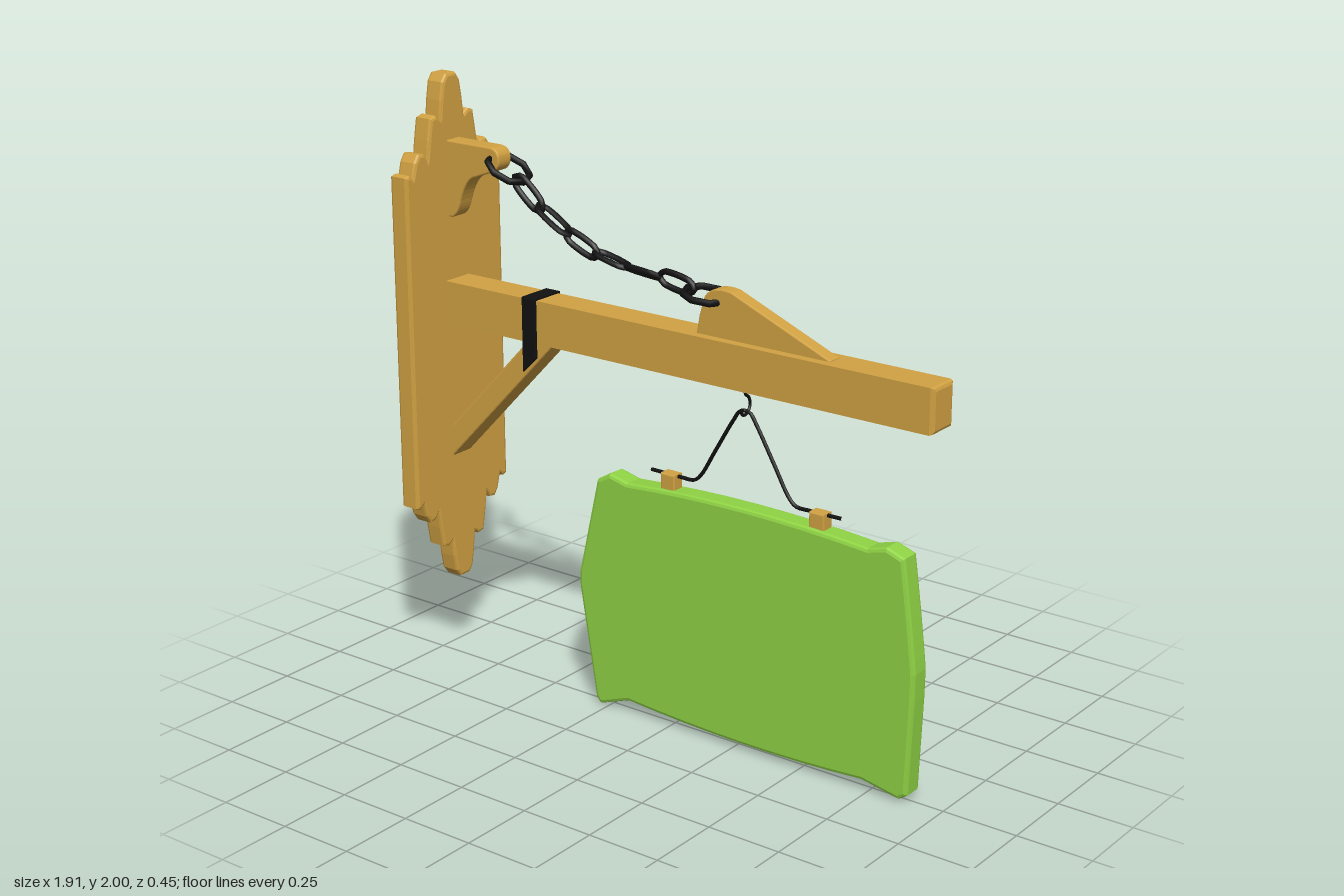
import * as THREE from 'three';

const wood = new THREE.MeshStandardMaterial({ color: 0xd2a243 });
const iron = new THREE.MeshStandardMaterial({ color: 0x111111 });
const green = new THREE.MeshStandardMaterial({ color: 0x8fd344 });

const V = (x, y, z = 0) => new THREE.Vector3(x, y, z);

// Bevelled slab from an outline in x and y, centred on z = 0
function slab(outline, depth, bevel) {
  const shape = outline instanceof THREE.Shape
    ? outline
    : new THREE.Shape(outline.map(([x, y]) => new THREE.Vector2(x, y)));
  const geo = new THREE.ExtrudeGeometry(shape, {
    depth: depth - 2 * bevel, bevelEnabled: bevel > 0, bevelSize: bevel,
    bevelThickness: bevel, bevelOffset: -bevel, bevelSegments: 2, curveSegments: 8,
  });
  return geo.translate(0, 0, -depth / 2 + bevel);
}

const rect = (x0, y0, x1, y1) => [[x0, y0], [x1, y0], [x1, y1], [x0, y1]];

function wire(points, radius, segments, closed = false) {
  const curve = new THREE.CatmullRomCurve3(points, closed, 'centripetal');
  return new THREE.TubeGeometry(curve, segments, radius, 6, closed);
}

export function createModel() {
  const model = new THREE.Group();
  const add = (name, geo, mat, parent = model) => {
    const mesh = new THREE.Mesh(geo, mat);
    mesh.name = name;
    parent.add(mesh);
    return mesh;
  };

  // Wall plank: stepped, rounded ends mirrored left/right and top/bottom
  const quarter = [
    [0.022, 2.0], [0.04, 1.975], [0.05, 1.92], [0.056, 1.86], [0.075, 1.875],
    [0.1, 1.868], [0.112, 1.8], [0.12, 1.735], [0.135, 1.762], [0.16, 1.766],
    [0.178, 1.74], [0.19, 1.692], [0.205, 1.706], [0.223, 1.7],
  ];
  const rightEdge = [...quarter, ...quarter.map(([z, y]) => [z, 2.294 - y]).reverse()];
  const plankOutline = [...rightEdge, ...rightEdge.map(([z, y]) => [-z, y]).reverse()].reverse();
  const plank = add('wallPlank', slab(plankOutline, 0.07, 0.01), wood);
  plank.rotation.y = Math.PI / 2;
  plank.position.x = -0.92;

  // Beam, diagonal brace and the two chain supports; tenons show behind the plank
  const back = -0.959;
  const beam = add('beam', slab(rect(-0.055, 1.19, 0.055, 1.332), 0.95 - back, 0.012), wood);
  beam.rotation.y = Math.PI / 2;
  beam.position.x = (0.95 + back) / 2;
  add('brace', slab([[back, 0.655], [-0.44, 1.2], [-0.545, 1.2], [back, 0.765]], 0.09, 0.008), wood);

  const bracket = new THREE.Shape();
  bracket.moveTo(back, 1.79);
  bracket.lineTo(back, 1.54);
  bracket.lineTo(-0.875, 1.54);
  bracket.quadraticCurveTo(-0.85, 1.545, -0.835, 1.6);
  bracket.quadraticCurveTo(-0.81, 1.675, -0.77, 1.685);
  bracket.lineTo(-0.69, 1.715);
  bracket.quadraticCurveTo(-0.665, 1.73, -0.672, 1.765);
  bracket.quadraticCurveTo(-0.68, 1.79, -0.71, 1.79);
  add('wallBracket', slab(bracket, 0.062, 0.005), wood);

  const cleat = new THREE.Shape();
  cleat.moveTo(0.095, 1.32);
  cleat.lineTo(0.58, 1.32);
  cleat.lineTo(0.58, 1.334);
  cleat.lineTo(0.225, 1.479);
  cleat.quadraticCurveTo(0.15, 1.492, 0.125, 1.45);
  cleat.lineTo(0.107, 1.39);
  add('beamCleat', slab(cleat, 0.05, 0.004), wood);

  // Iron strap over the beam and down both sides of the brace
  const strap = new THREE.Group();
  strap.name = 'strap';
  model.add(strap);
  for (const side of [-1, 1]) {
    const plate = slab([[-0.56, 1.09], [-0.506, 1.143], [-0.506, 1.337], [-0.56, 1.337]], 0.01, 0.002);
    add('strapSide', plate, iron, strap).position.z = side * 0.058;
  }
  add('strapTop', new THREE.BoxGeometry(0.054, 0.01, 0.12).translate(-0.533, 1.333, 0), iron, strap);

  // Chain: a ring round each support, with links alternately turned between them
  const chain = new THREE.Group();
  chain.name = 'chain';
  model.add(chain);
  for (const [x, y, tilt] of [[-0.655, 1.725, -0.53], [0.113, 1.448, -0.15]]) {
    const ring = add('chainRing', new THREE.TorusGeometry(0.071, 0.011, 6, 8), iron, chain);
    ring.position.set(x, y, 0);
    ring.rotation.set(Math.PI / 2, 0, tilt, 'ZYX');
  }
  const links = [
    [-0.637, 1.71, -0.515, 1.605, 0], [-0.545, 1.63, -0.405, 1.545, 1.57],
    [-0.437, 1.558, -0.29, 1.497, 0.15], [-0.32, 1.515, -0.17, 1.48, 1.5],
    [-0.2, 1.484, -0.05, 1.472, 1.05], [-0.07, 1.48, 0.08, 1.455, 0.1],
  ];
  for (const [x0, y0, x1, y1, roll] of links) {
    const h = Math.hypot(x1 - x0, y1 - y0) / 2 - 0.009;
    const w = 0.024;
    const path = [V(h, 0), V(h * 0.75, w * 0.8), V(h * 0.35, w), V(-h * 0.35, w), V(-h * 0.75, w * 0.8),
      V(-h, 0), V(-h * 0.75, -w * 0.8), V(-h * 0.35, -w), V(h * 0.35, -w), V(h * 0.75, -w * 0.8)];
    const link = add('chainLink', wire(path, 0.01, 20, true), iron, chain);
    link.position.set((x0 + x1) / 2, (y0 + y1) / 2, 0);
    link.rotation.set(roll, 0, Math.atan2(y1 - y0, x1 - x0), 'ZYX');
  }

  // Hook under the beam, hanging wires and their wooden blocks
  const mid = 0.262;
  add('hook', wire([V(mid, 1.2), V(mid, 1.165), V(mid, 1.15, -0.018), V(mid, 1.125, -0.025),
    V(mid, 1.102, -0.01), V(mid, 1.1, 0.012), V(mid, 1.12, 0.025)], 0.005, 24), iron);
  for (const side of [-1, 1]) {
    const at = (dx, y) => V(mid + side * dx, y);
    add('hangingWire', wire([at(0, 1.112), at(0.018, 1.108), at(0.045, 1.07), at(0.11, 0.96),
      at(0.165, 0.868), at(0.19, 0.847), at(0.24, 0.845), at(0.355, 0.846)], 0.006, 40), iron);
    const block = add('hangingBlock', slab(rect(-0.027, 0.78, 0.027, 0.852), 0.044, 0.004), wood);
    block.position.x = mid + side * 0.278;
  }

  // Sign board with a wavy outline
  const board = new THREE.Shape();
  board.moveTo(-0.285, 0.78);
  board.lineTo(-0.235, 0.808);
  board.lineTo(-0.165, 0.792);
  board.quadraticCurveTo(0.28, 0.83, 0.73, 0.79);
  board.lineTo(0.795, 0.808);
  board.lineTo(0.857, 0.786);
  board.quadraticCurveTo(0.885, 0.6, 0.905, 0.43);
  board.lineTo(0.904, 0.34);
  board.lineTo(0.892, 0.03);
  board.lineTo(0.862, 0.01);
  board.lineTo(0.73, 0.035);
  board.quadraticCurveTo(0.3, 0.002, -0.165, 0.042);
  board.lineTo(-0.28, 0);
  board.lineTo(-0.298, 0.022);
  board.lineTo(-0.361, 0.4);
  board.lineTo(-0.361, 0.45);
  add('signBoard', slab(board, 0.076, 0.012), green);

  return model;
}
